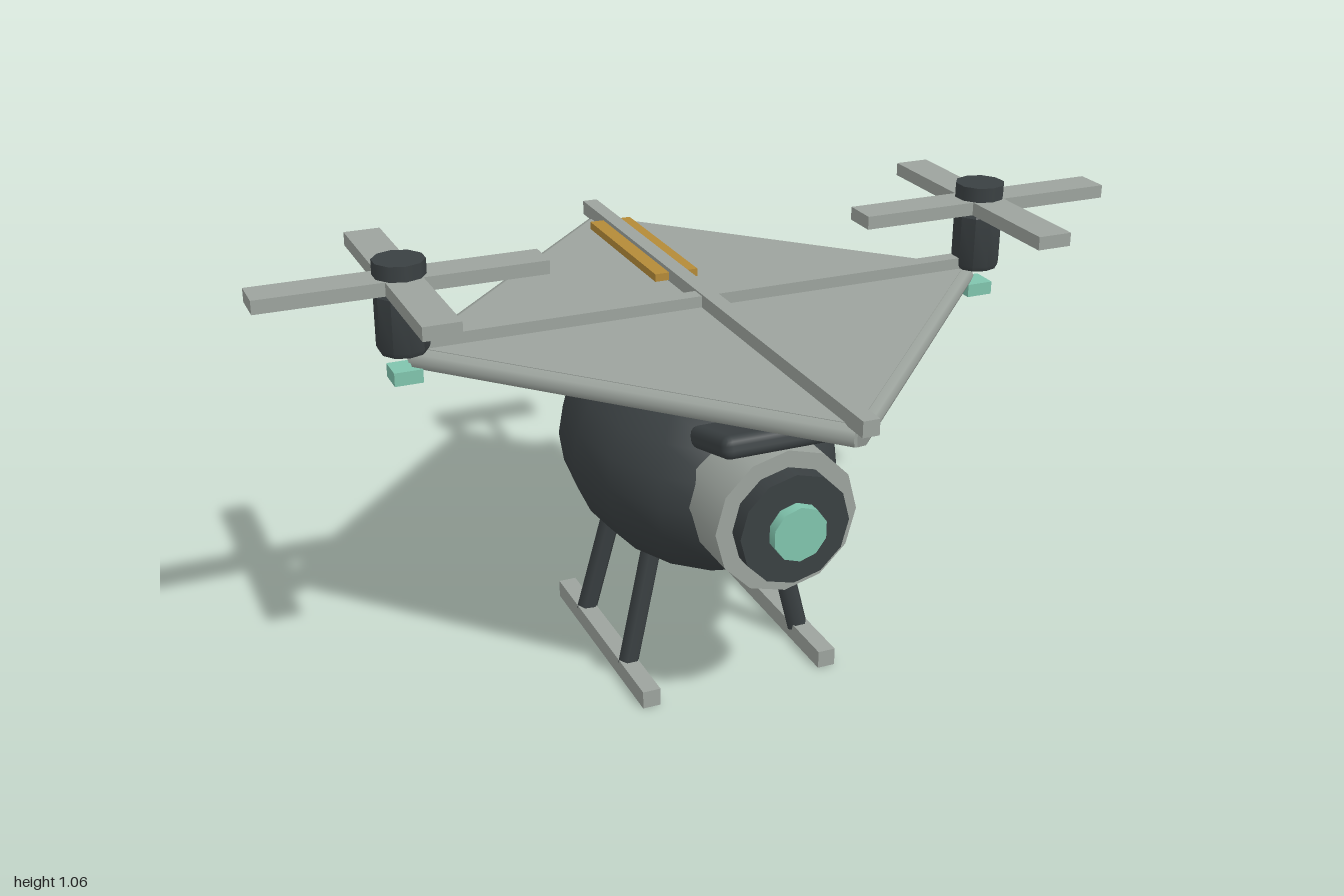
import * as THREE from 'three';
import { RoundedBoxGeometry } from 'three/addons/geometries/RoundedBoxGeometry.js';
import { toCreasedNormals } from 'three/addons/utils/BufferGeometryUtils.js';

function material(name, color) {
  const m = new THREE.MeshStandardMaterial({ color });
  m.name = name;
  return m;
}

export function createModel() {
  const root = new THREE.Group();
  root.name = 'scoutDrone';
  const dark = material('charcoal', 0x3a4042);
  const grey = material('paleGrey', 0x9ca39d);
  const teal = material('tealGlass', 0x80c4ad);
  const gold = material('gold', 0xb48a38);

  const add = (name, geometry, mat, x = 0, y = 0, z = 0, parent = root) => {
    const mesh = new THREE.Mesh(geometry, mat);
    mesh.name = name;
    mesh.position.set(x, y, z);
    parent.add(mesh);
    return mesh;
  };
  const box = (name, w, h, d, mat, x, y, z, parent) =>
    add(name, new THREE.BoxGeometry(w, h, d), mat, x, y, z, parent);

  // Straight rod between two points
  const rod = (name, a, b, r, sides, mat) => {
    const from = new THREE.Vector3(...a);
    const dir = new THREE.Vector3(...b).sub(from);
    const mesh = add(name, new THREE.CylinderGeometry(r, r, dir.length(), sides), mat);
    mesh.position.copy(from).addScaledVector(dir, 0.5);
    mesh.quaternion.setFromUnitVectors(new THREE.Vector3(0, 1, 0), dir.normalize());
    return mesh;
  };

  // Egg-shaped body
  const bodyGeometry = new THREE.SphereGeometry(1, 16, 12);
  bodyGeometry.scale(0.3, 0.264, 0.415);
  add('body', bodyGeometry, dark, 0, 0.508, 0.2);

  // Camera nose: housing, bezel and lens
  const disc = (name, r, z0, z1, sides, mat) =>
    add(name, new THREE.CylinderGeometry(r, r, z1 - z0, sides).rotateX(Math.PI / 2), mat,
      0, 0.522, (z0 + z1) / 2);
  disc('cameraHousing', 0.163, 0.42, 0.67, 12, grey);
  disc('cameraBezel', 0.125, 0.66, 0.71, 12, dark);
  disc('cameraLens', 0.062, 0.7, 0.735, 10, teal);

  // Raised brow over the camera
  const brow = add('brow', new RoundedBoxGeometry(0.31, 0.05, 0.19, 2, 0.02), dark, 0, 0.698, 0.6);
  brow.rotation.x = -0.26;

  // Mast and crossed wing spars
  box('mast', 0.058, 0.12, 0.055, grey, 0, 0.8, 0.295);
  box('longSpar', 0.036, 0.034, 1.47, grey, 0, 0.873, 0.265);
  box('crossSpar', 1.36, 0.03, 0.036, grey, 0, 0.871, 0.25);
  box('goldStrip', 0.104, 0.018, 0.415, gold, 0, 0.872, -0.122);

  // Diamond wing skin with tubular edges
  const corners = [[0, 0.95], [0.66, 0.25], [0, -0.43], [-0.66, 0.25]];
  const outline = new THREE.Shape(corners.map(([x, z]) => new THREE.Vector2(x, -z)));
  const skin = new THREE.ExtrudeGeometry(outline, { depth: 0.01, bevelEnabled: false });
  skin.rotateX(-Math.PI / 2);
  add('wingSkin', skin, grey, 0, 0.85, 0);
  corners.forEach(([x, z], i) => {
    const [nx, nz] = corners[(i + 1) % 4];
    rod('wingEdge', [x, 0.836, z], [nx, 0.836, nz], 0.023, 8, grey);
  });

  for (const side of [-1, 1]) {
    // Motor with crossed blades and a glass foot
    const rotor = new THREE.Group();
    rotor.name = side > 0 ? 'leftRotor' : 'rightRotor';
    rotor.position.set(side * 0.685, 0, 0.252);
    root.add(rotor);
    const profile = [[0, 0.858], [0.05, 0.858], [0.056, 0.87], [0.056, 0.985], [0.05, 0.995], [0, 0.995]]
      .map(([r, y]) => new THREE.Vector2(r, y));
    add('motor', toCreasedNormals(new THREE.LatheGeometry(profile, 10), 0.5), dark, 0, 0, 0, rotor);
    add('rotorCap', new THREE.CylinderGeometry(0.056, 0.056, 0.05, 10), dark, 0, 1.033, 0, rotor);
    box('bladeAcross', 0.62, 0.03, 0.08, grey, 0, 1.01, 0, rotor);
    box('bladeAlong', 0.08, 0.03, 0.615, grey, 0, 1.01, 0, rotor);
    box('rotorLight', 0.062, 0.03, 0.062, teal, 0, 0.807, 0, rotor);

    // Landing gear
    box('skid', 0.042, 0.042, 0.55, grey, side * 0.22, 0.021, 0.19);
    for (const [topZ, footZ] of [[0.298, 0.317], [0.07, 0.046]]) {
      rod('leg', [side * 0.145, 0.34, topZ], [side * 0.218, 0.03, footZ], 0.025, 6, dark);
    }
  }

  // Drooping tail in straight sections
  const tail = [[0.54, -0.15], [0.41, -0.53], [0.352, -0.745], [0.337, -0.985]];
  for (let i = 0; i < 3; i++) {
    rod('tailSection', [0, ...tail[i]], [0, ...tail[i + 1]], 0.016 - i * 0.001, 8, dark);
  }

  // Tail fins, notched in the middle of the upper front edge
  for (const [y, z, tilt] of [[0.402, -0.587, -0.16], [0.341, -0.949, -0.06]]) {
    const fin = new THREE.BoxGeometry(0.3, 0.02, 0.096, 2, 1, 1);
    const p = fin.attributes.position;
    for (let i = 0; i < p.count; i++) {
      if (Math.abs(p.getX(i)) < 0.01 && p.getY(i) > 0 && p.getZ(i) > 0) p.setZ(i, 0);
    }
    const flat = fin.toNonIndexed();
    flat.computeVertexNormals();
    add('tailFin', flat, grey, 0, y, z).rotation.x = tilt;
  }

  return root;
}
